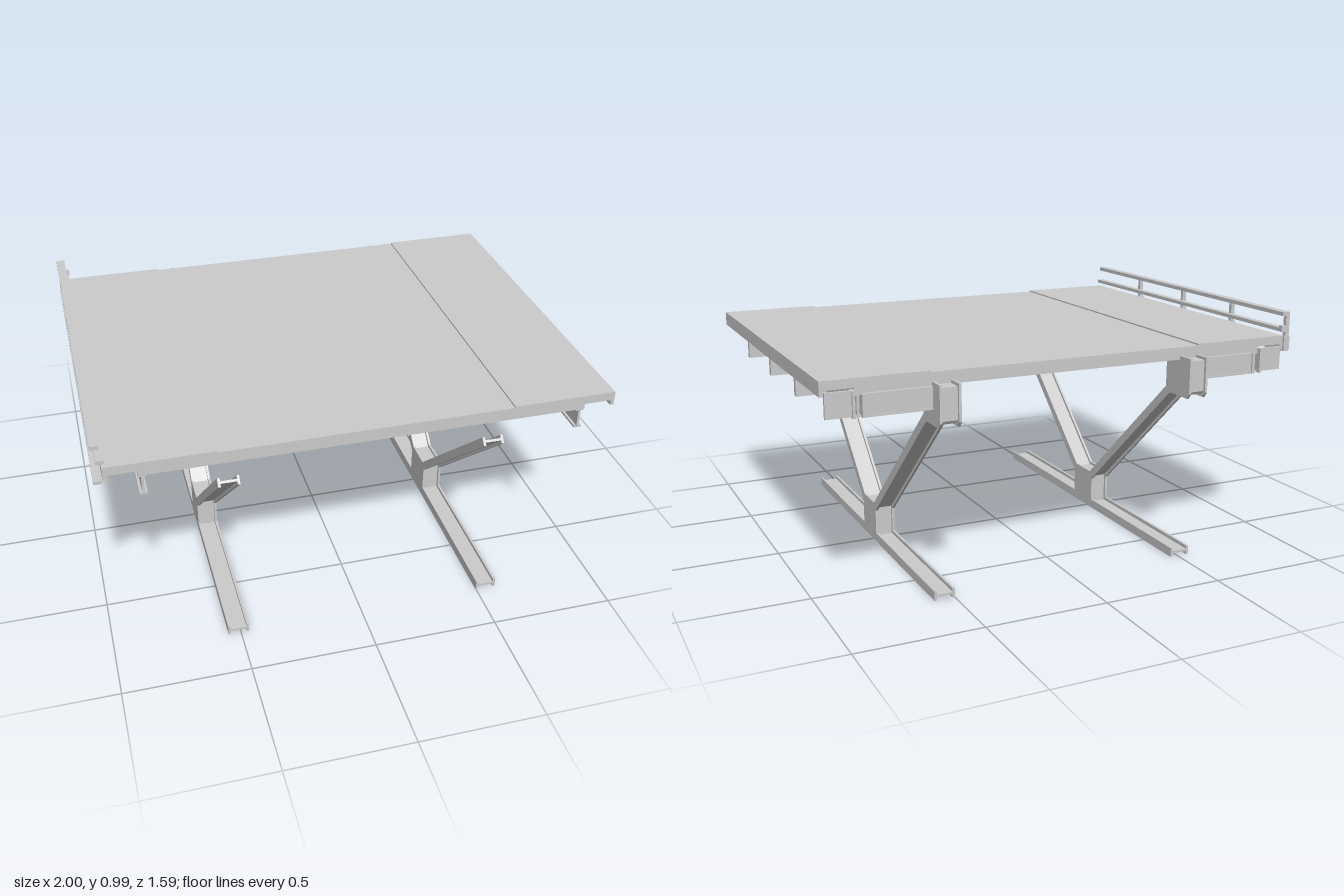
import * as THREE from 'three';

const mat = new THREE.MeshStandardMaterial({ color: 0xcccccc, flatShading: true, side: THREE.DoubleSide });
const CX = 0.0165; // the frame's centre line; the railing sits outside it on one side

function add(parent, name, geometry) {
  const mesh = new THREE.Mesh(geometry, mat);
  mesh.name = name;
  parent.add(mesh);
  return mesh;
}

// Box given by its limits on each axis
function block(parent, name, x0, x1, y0, y1, z0, z1) {
  const g = new THREE.BoxGeometry(Math.abs(x1 - x0), y1 - y0, z1 - z0);
  g.translate((x0 + x1) / 2, (y0 + y1) / 2, (z0 + z1) / 2);
  return add(parent, name, g);
}

const toShape = (pts) => new THREE.Shape(pts.map(([a, b]) => new THREE.Vector2(a, b)));

// Plate with a [z, y] outline, centred on x
function plate(parent, name, pts, x, width) {
  const g = new THREE.ExtrudeGeometry(toShape(pts), { depth: width, bevelEnabled: false });
  g.translate(0, 0, -width / 2).rotateY(-Math.PI / 2).translate(x, 0, 0);
  return add(parent, name, g);
}

// Steel member: two side flanges and a recessed core between them
function member(parent, name, outline, core) {
  const half = 0.042, t = 0.01;
  for (const s of [-1, 1]) plate(parent, name + 'Flange', outline, s * (half - t / 2), t);
  plate(parent, name + 'Core', core, 0, 2 * (half - t));
}

// Straight sloping member; the core is a thin strip along the middle
function brace(parent, name, a, b, depth) {
  const dz = b[0] - a[0], dy = b[1] - a[1], len = Math.hypot(dz, dy);
  const strip = (h) => [[a, 1], [b, 1], [b, -1], [a, -1]].map(
    ([p, s]) => [p[0] - (s * h * dy) / len, p[1] + (s * h * dz) / len]);
  member(parent, name, strip(depth / 2), strip(0.005));
}

const rect = (z0, z1, y0, y1) => [[z0, y0], [z1, y0], [z1, y1], [z0, y1]];

function createLeg() {
  const leg = new THREE.Group();
  leg.name = 'leg';
  member(leg, 'baseBeam', rect(-0.715, 0.795, 0, 0.038), rect(-0.715, 0.795, 0.014, 0.024));
  // Node where both braces meet the base
  member(leg, 'node',
    [[-0.04, 0.03], [0.12, 0.03], [0.12, 0.143], [0.105, 0.17], [-0.025, 0.17], [-0.04, 0.143]],
    rect(-0.028, 0.108, 0.02, 0.158));
  brace(leg, 'frontBrace', [0.108, 0.152], [0.727, 0.701], 0.035);
  brace(leg, 'backBrace', [-0.028, 0.152], [-0.645, 0.701], 0.035);
  // Bracket holding the back edge of the deck
  member(leg, 'bracket',
    [[-0.63, 0.835], [-0.63, 0.705], [-0.655, 0.69], [-0.78, 0.69], [-0.795, 0.71],
      [-0.795, 0.852], [-0.722, 0.852], [-0.722, 0.835]],
    [[-0.642, 0.835], [-0.642, 0.703], [-0.775, 0.703], [-0.783, 0.715],
      [-0.783, 0.84], [-0.722, 0.84], [-0.722, 0.835]]);
  return leg;
}

// Edge beams under one side of the deck; s is the side
function createSideFrame(s) {
  const frame = new THREE.Group();
  frame.name = s > 0 ? 'leftSideFrame' : 'rightSideFrame';
  const box = (name, x0, x1, ...rest) => block(frame, name, s * x0, s * x1, ...rest);
  box('sideBeamWeb', 0.839, 0.849, 0.752, 0.857, -0.72, 0.79);
  box('sideBeamLowerFlange', 0.829, 0.859, 0.75, 0.758, -0.72, 0.79);
  box('sideBeamUpperFlange', 0.829, 0.859, 0.827, 0.836, -0.72, 0.79);
  for (const z of [0.422, 0.045, -0.338]) {
    box('outrigger', 0.845, 0.967, 0.752, 0.857, z - 0.012, z + 0.012);
  }
  // Back edge: panels either side of a short post
  box('backPanel', 0.56, 0.83, 0.755, 0.835, -0.731, -0.716);
  box('backPanelLip', 0.56, 0.83, 0.75, 0.757, -0.735, -0.705);
  box('backPost', 0.823, 0.833, 0.75, 0.835, -0.738, -0.7);
  box('backOuterPanel', 0.859, 0.967, 0.755, 0.85, -0.728, -0.716);
  box('backOuterPost', 0.859, 0.869, 0.75, 0.85, -0.738, -0.7);
  return frame;
}

function createRailing() {
  const rail = new THREE.Group();
  rail.name = 'railing';
  block(rail, 'topRail', -1, -0.965, 0.972, 0.988, -0.715, 0.795);
  block(rail, 'middleRail', -0.985, -0.955, 0.909, 0.924, -0.715, 0.795);
  block(rail, 'lowerRail', -1, -0.967, 0.825, 0.838, -0.715, 0.795);
  for (const z of [0.422, 0.042, -0.338, -0.713]) {
    block(rail, 'railPost', -0.995, -0.977, 0.826, 0.975, z - 0.008, z + 0.008);
    block(rail, 'railPostPlate', -0.998, -0.97, 0.83, 0.89, z - 0.011, z + 0.011);
  }
  // Small hooked stop at the back end
  block(rail, 'endStop', -0.975, -0.95, 0.909, 0.935, -0.73, -0.713);
  return rail;
}

export function createModel() {
  const model = new THREE.Group();
  model.name = 'platform';

  // Deck: slightly sunken middle, grooved beneath both outer edges
  const half = [[0.57, 0.886], [0.57, 0.892], [0.983, 0.892], [0.983, 0.835],
    [0.968, 0.835], [0.968, 0.857], [0.859, 0.857], [0.859, 0.836]];
  const profile = [...half, ...half.map(([x, y]) => [-x, y]).reverse()];
  const deck = new THREE.ExtrudeGeometry(toShape(profile), { depth: 1.515, bevelEnabled: false });
  add(model, 'deck', deck.translate(CX, 0, -0.72));

  for (const s of [-1, 1]) {
    const leg = createLeg();
    leg.position.x = CX + s * 0.525;
    const frame = createSideFrame(s);
    frame.position.x = CX;
    model.add(leg, frame);
  }
  model.add(createRailing());
  return model;
}
